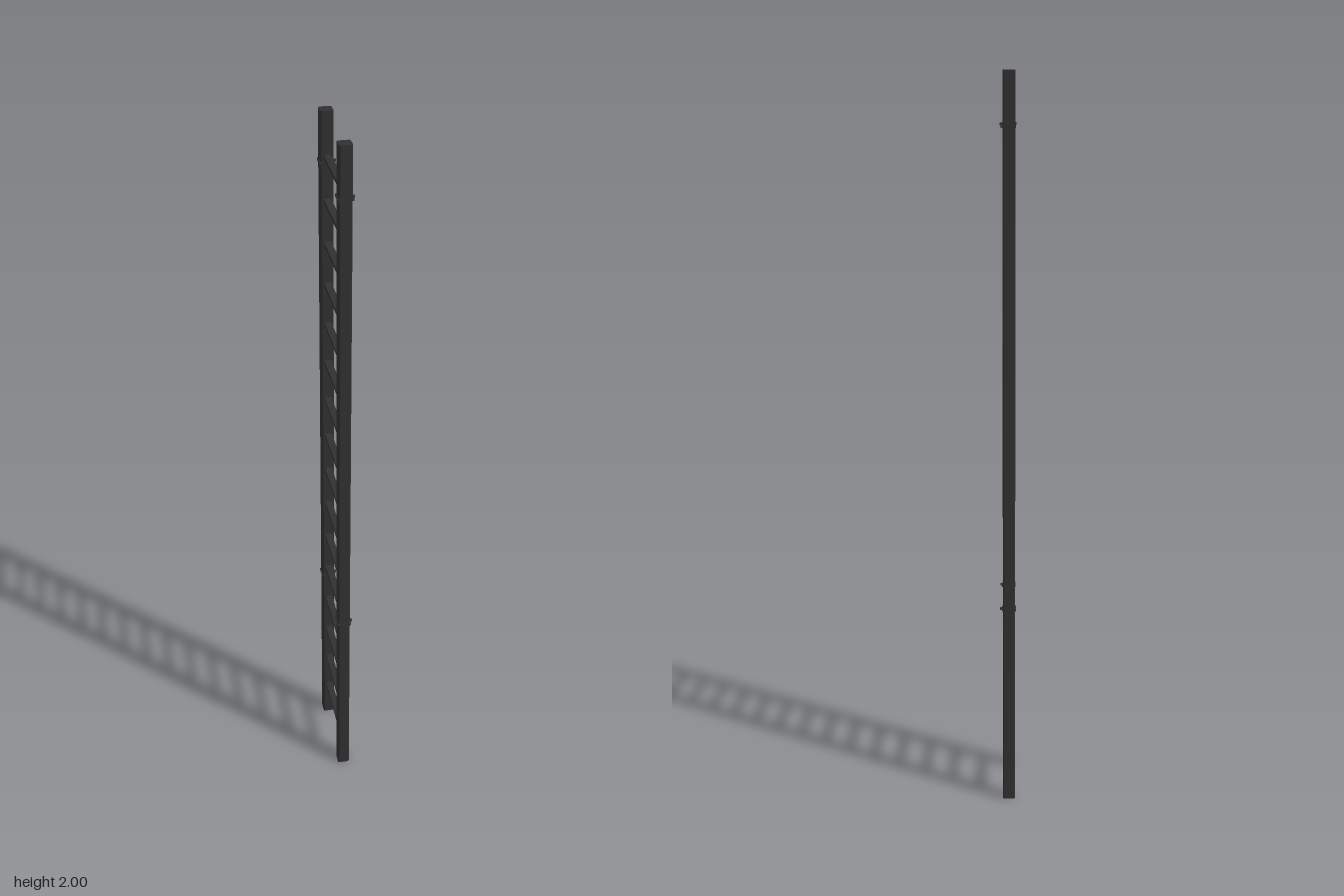
import * as THREE from 'three';

const material = new THREE.MeshStandardMaterial({ color: 0x303030, flatShading: true });
const CX = -0.003; // ladder plane, offset so the bolts stay within the centred bounds
const POST_Z = 0.117;

// Square section with chamfered corners, extruded upwards
function chamferedPost(size, height, chamfer) {
  const h = size / 2, c = h - chamfer;
  const shape = new THREE.Shape([
    [h, -c], [h, c], [c, h], [-c, h], [-h, c], [-h, -c], [-c, -h], [c, -h],
  ].map(([x, y]) => new THREE.Vector2(x, y)));
  return new THREE.ExtrudeGeometry(shape, { depth: height, bevelEnabled: false }).rotateX(-Math.PI / 2);
}

export function createModel() {
  const ladder = new THREE.Group();
  ladder.name = 'ladder';
  const add = (name, geometry, x, y, z) => {
    const mesh = new THREE.Mesh(geometry, material);
    mesh.name = name;
    mesh.position.set(x, y, z);
    ladder.add(mesh);
  };

  const post = chamferedPost(0.034, 2, 0.003);
  const collar = new THREE.BoxGeometry(0.039, 0.006, 0.039);
  const bolt = new THREE.BoxGeometry(0.014, 0.006, 0.008);
  const rung = new THREE.BoxGeometry(0.019, 0.01, 2 * POST_Z - 0.02);

  // Side posts, each with two thin collars and a small bolt on every collar
  for (const side of [1, -1]) {
    const z = side * POST_Z;
    add('post', post, CX, 0, z);
    for (const y of [0.555, 1.865]) {
      add('collar', collar, CX, y, z);
      add('bolt', bolt, 0.015, y, z);
    }
  }

  // Evenly spaced flat rungs
  for (let i = 1; i <= 16; i++) add('rung', rung, CX, (2 * i) / 17, 0);

  return ladder;
}
